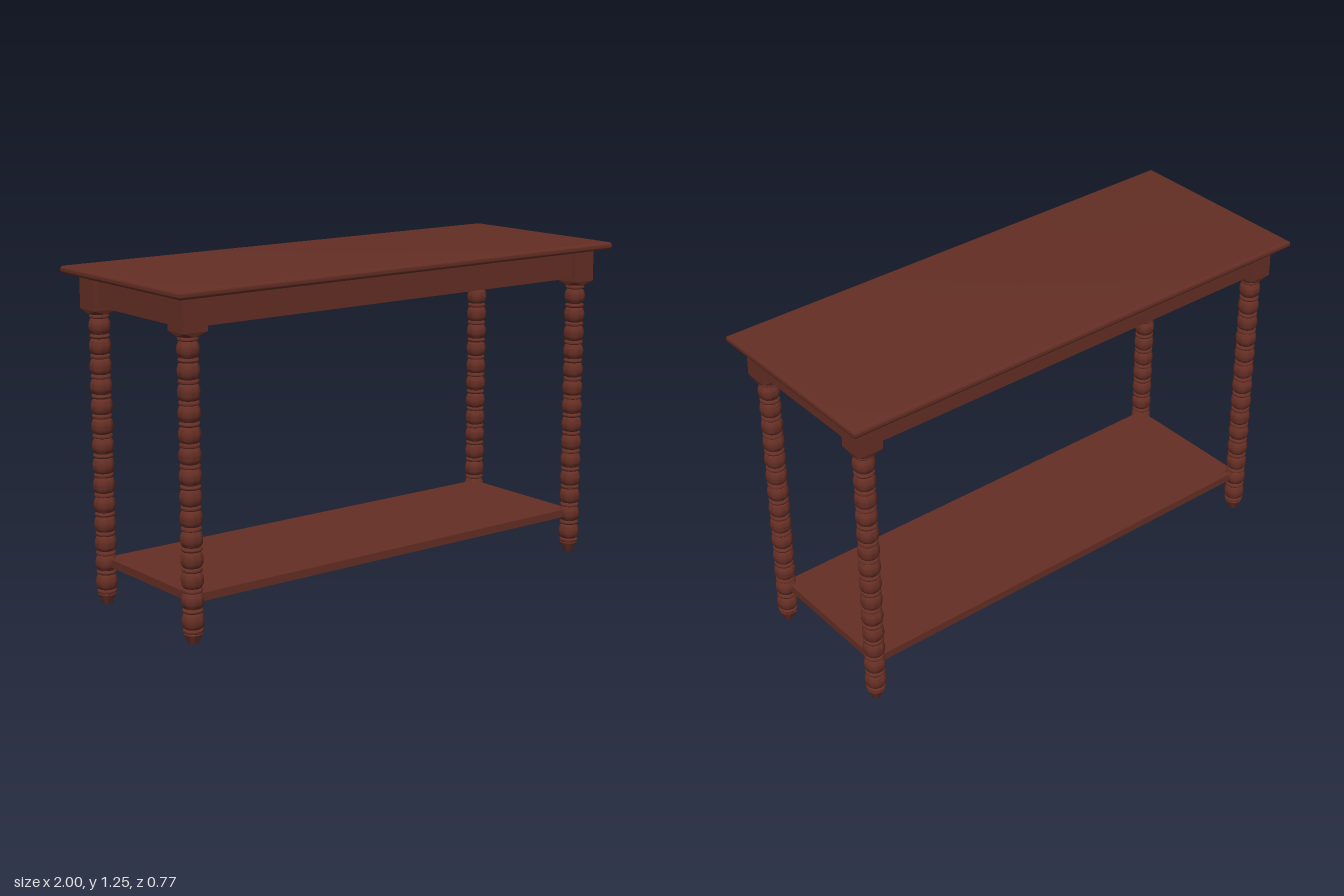
import * as THREE from 'three';
import { toCreasedNormals } from 'three/addons/utils/BufferGeometryUtils.js';
import { ConvexGeometry } from 'three/addons/geometries/ConvexGeometry.js';

const LEG_X = 0.905, LEG_Z = 0.285;

// Bulge of the given half height and radii, sampled from bottom to top
function bulge(points, y, half, neck, radius, steps) {
  for (let i = 0; i <= steps; i++) {
    const a = -Math.PI / 2 + (Math.PI * i) / steps;
    points.push(new THREE.Vector2(neck + (radius - neck) * Math.cos(a), y + half * Math.sin(a)));
  }
}

// Bobbin-turned leg: tapered foot, then alternating thin rings and round beads
function legGeometry() {
  const pitch = 0.0733, first = 0.083, beads = 14;
  const p = [[0, 0], [0.018, 0], [0.021, 0.008], [0.034, 0.036]].map(([x, y]) => new THREE.Vector2(x, y));
  for (let i = 0; i < beads; i++) {
    const y = first + i * pitch;
    bulge(p, y - pitch / 2, 0.0075, 0.029, 0.037, 5);
    bulge(p, y, 0.0285, 0.026, 0.04, 10);
  }
  bulge(p, first + (beads - 0.5) * pitch, 0.0075, 0.029, 0.037, 5);
  p.push(new THREE.Vector2(0.03, 1.1));
  return toCreasedNormals(new THREE.LatheGeometry(p, 28), 0.7);
}

// Square block whose lower end narrows to the round leg
function blockGeometry() {
  const h = 0.0485, pts = [];
  for (const sx of [-1, 1]) for (const sz of [-1, 1]) {
    pts.push(new THREE.Vector3(sx * h, 1.222, sz * h), new THREE.Vector3(sx * h, 1.098, sz * h));
  }
  for (let i = 0; i < 16; i++) {
    const a = (i * Math.PI) / 8;
    pts.push(new THREE.Vector3(0.044 * Math.cos(a), 1.082, 0.044 * Math.sin(a)));
  }
  return new ConvexGeometry(pts);
}

// Tabletop slab with a rounded edge
function topGeometry() {
  const b = 0.012, x = 1 - b, z = 0.385 - b;
  const shape = new THREE.Shape([[-x, -z], [x, -z], [x, z], [-x, z]].map(([u, v]) => new THREE.Vector2(u, v)));
  const g = new THREE.ExtrudeGeometry(shape, {
    depth: 0.006, bevelEnabled: true, bevelThickness: 0.012, bevelSize: b, bevelSegments: 4,
  });
  g.rotateX(-Math.PI / 2);
  g.translate(0, 1.232, 0);
  return toCreasedNormals(g, 0.6);
}

export function createModel() {
  const model = new THREE.Group();
  model.name = 'consoleTable';
  const wood = new THREE.MeshStandardMaterial({ color: 0x642e24 });
  wood.name = 'redBrownWood';

  const add = (name, geometry, x = 0, y = 0, z = 0) => {
    const mesh = new THREE.Mesh(geometry, wood);
    mesh.name = name;
    mesh.position.set(x, y, z);
    model.add(mesh);
  };

  add('tabletop', topGeometry());
  add('apron', new THREE.BoxGeometry(1.87, 0.109, 0.63), 0, 1.1675, 0);
  add('lowerShelf', new THREE.BoxGeometry(LEG_X * 2, 0.03, LEG_Z * 2), 0, 0.158, 0);

  // Four legs with their corner blocks
  const leg = legGeometry(), block = blockGeometry();
  for (const sx of [-1, 1]) for (const sz of [-1, 1]) {
    const corner = (sz > 0 ? 'front' : 'back') + (sx > 0 ? 'Left' : 'Right');
    add(corner + 'Leg', leg, sx * LEG_X, 0, sz * LEG_Z);
    add(corner + 'Block', block, sx * LEG_X, 0, sz * LEG_Z);
  }
  return model;
}
